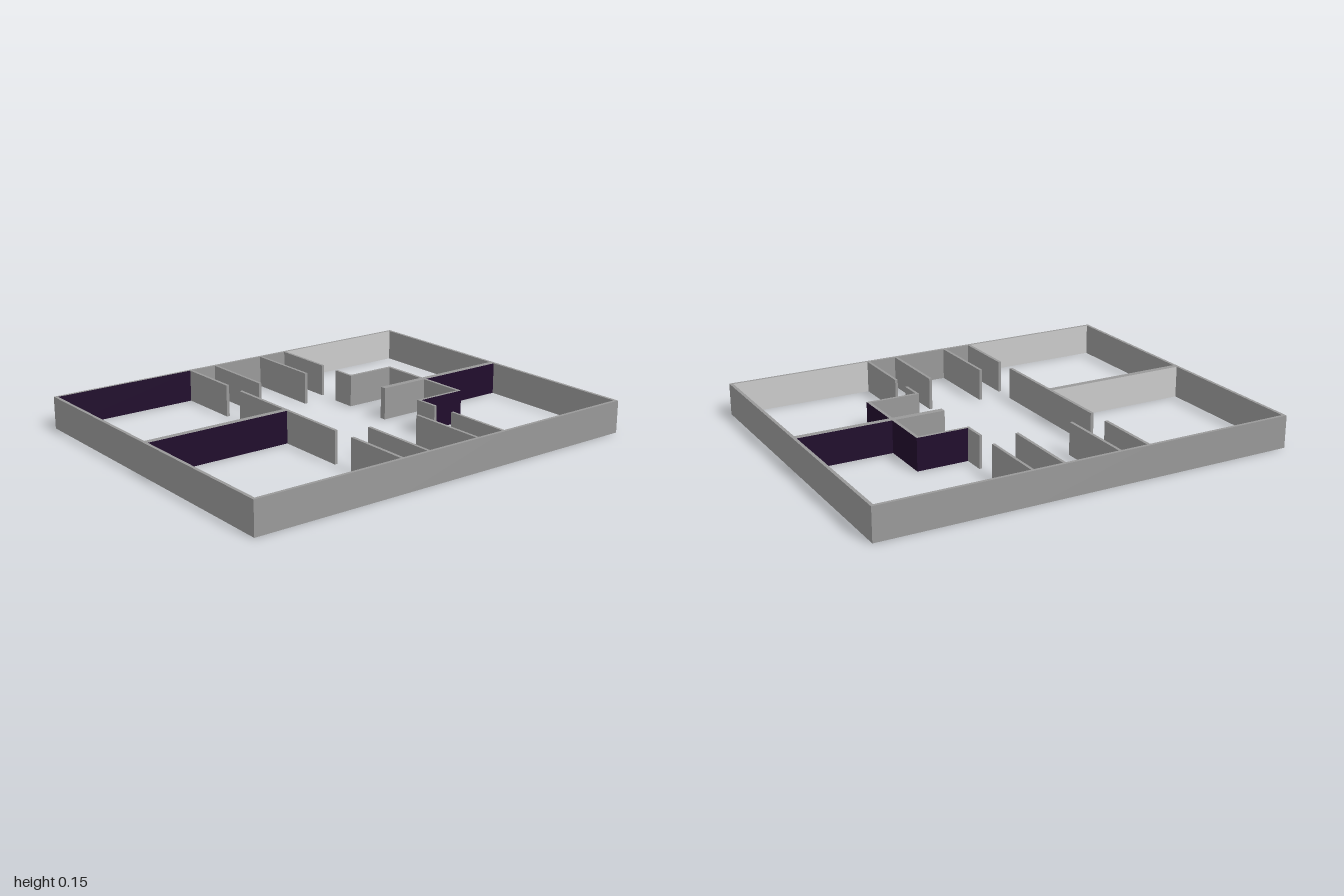
import * as THREE from 'three';

const H = 0.153;  // wall height
const T = 0.015;  // wall thickness
const X = 0.808;  // half width of the plan
const Z = 1;      // half depth of the plan

const paint = (color) => new THREE.MeshStandardMaterial({ color });
const grey = paint(0x999999);
const light = paint(0xcccccc);
const purple = paint(0x200c2c);
const FACES = ['+x', '-x', '+y', '-y', '+z', '-z'];

// One straight wall from plan limits; "painted" maps faces to accent materials
function wall(name, x0, x1, z0, z1, painted = {}) {
  const geometry = new THREE.BoxGeometry(Math.abs(x1 - x0), H, z1 - z0);
  const mesh = new THREE.Mesh(geometry, FACES.map((f) => painted[f] ?? grey));
  mesh.name = name;
  mesh.position.set((x0 + x1) / 2, H / 2, (z0 + z1) / 2);
  return mesh;
}

export function createModel() {
  const model = new THREE.Group();
  model.name = 'floorPlanWalls';
  const add = (...args) => model.add(wall(...args));

  // Outer shell
  add('backOuterWall', -X, X, -Z, -Z + T);
  add('frontOuterWall', -X, X, Z - T, Z);

  // Thick walls on the centre line
  add('backDividingWall', -0.015, 0.015, -Z + T, -0.542, { '+x': purple, '-x': purple });
  add('alcoveDividingWall', -0.015, 0.015, -0.542, -0.285);
  add('frontDividingWall', -0.015, 0.015, 0.278, Z - T, { '+x': purple, '-x': light });

  // Wall between the front rooms and the hall
  add('hallFrontWall', -0.362, 0.362, 0.263, 0.278);

  // Mirrored walls
  for (const s of [1, -1]) {
    const side = s > 0 ? 'left' : 'right';
    const outward = s > 0 ? '+x' : '-x';
    const inward = s > 0 ? '-x' : '+x';
    const inner = s * (X - T);

    // Side walls by room, each with its own paint inside
    add(side + 'OuterWallBackRoom', s * X, inner, -Z + T, -0.285, { [inward]: light });
    add(side + 'OuterWallHall', s * X, inner, -0.285, 0.263);
    add(side + 'OuterWallFrontRoom', s * X, inner, 0.263, Z - T, { [inward]: s > 0 ? light : purple });

    // Partitions
    add(side + 'BackRoomWall', s * 0.473, inner, -0.298, -0.285);
    add(side + 'BackPartition', s * 0.411, inner, -0.149, -0.135);
    add(side + 'FrontPartition', s * 0.411, inner, 0.122, 0.136);
    add(side + 'FrontRoomWall', s * 0.473, inner, 0.263, 0.278);

    // Alcove: back, side and short return beside the doorway
    add(side + 'AlcoveBack', s * 0.015, s * 0.258, -0.542, -0.527, { '-z': purple, [outward]: purple });
    add(side + 'AlcoveSide', s * 0.243, s * 0.258, -0.527, -0.285, { [outward]: purple });
    add(side + 'AlcoveReturn', s * 0.258, s * 0.362, -0.298, -0.285);
  }
  return model;
}
